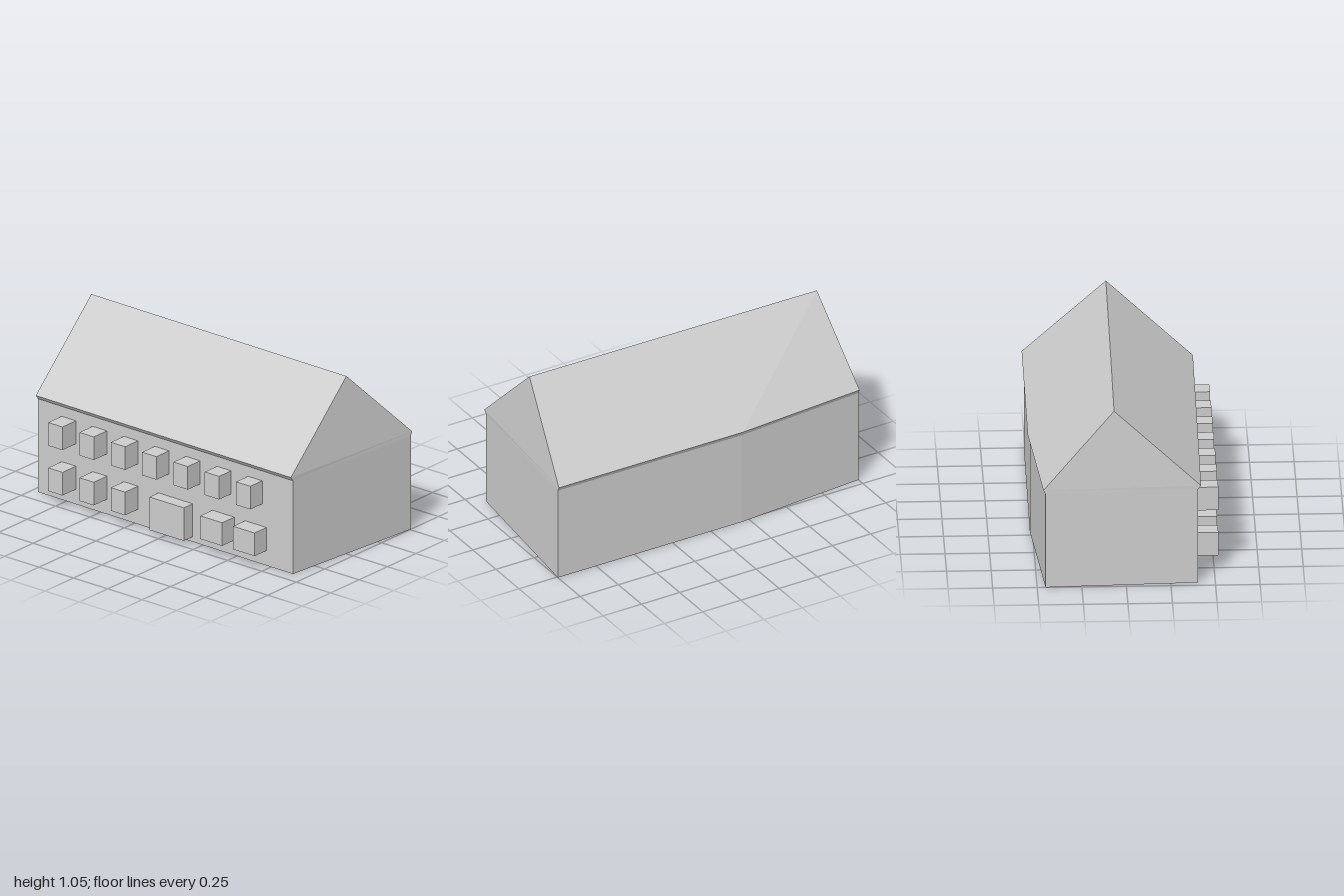
import * as THREE from 'three';

const plaster = new THREE.MeshStandardMaterial({ color: 0xcccccc, flatShading: true });
plaster.name = 'light grey';

// Cross-section corners, front base over the ridge to back base: [x, y, z]
const section = (xf, xr, xb, zf, zr, zb) => [
  [xf, 0, zf - 0.018], [xf, 0.565, zf - 0.018], [xf, 0.59, zf],
  [xr, 1.05, zr],
  [xb, 0.59, zb], [xb, 0.565, zb + 0.012], [xb, 0, zb + 0.012],
];
// The back wall bends at the middle section
const sections = [
  section(-0.96, -0.96, -1, 0.42, -0.068, -0.465),
  section(-0.2, -0.2, -0.2, 0.428, -0.06, -0.526),
  section(0.91, 0.91, 1, 0.438, -0.05, -0.519),
];
// Triangles that close a gable end
const gable = [[0, 6, 5], [0, 5, 1], [1, 5, 4], [1, 4, 2], [2, 4, 3]];

function buildMesh(name, triangles) {
  const geometry = new THREE.BufferGeometry();
  geometry.setAttribute('position', new THREE.Float32BufferAttribute(triangles.flat(2), 3));
  geometry.computeVertexNormals();
  const mesh = new THREE.Mesh(geometry, plaster);
  mesh.name = name;
  return mesh;
}

// Strips that join the sections along the given profile edges
function strips(edges) {
  const out = [];
  for (let s = 0; s < sections.length - 1; s++) {
    const a = sections[s], b = sections[s + 1];
    for (const i of edges) {
      const j = (i + 1) % 7;
      out.push([a[i], b[i], b[j]], [a[i], b[j], a[j]]);
    }
  }
  return out;
}

export function createModel() {
  const house = new THREE.Group();
  house.name = 'house';

  // Long walls, floor, gables and the roof with its narrow eaves
  house.add(buildMesh('wallsAndFloor', strips([0, 5, 6])));
  house.add(buildMesh('roof', strips([1, 2, 3, 4])));
  house.add(buildMesh('rightGable', gable.map(t => t.map(i => sections[2][i]))));
  house.add(buildMesh('leftGable', gable.map(t => t.map(i => sections[0][i]).reverse())));

  // Projecting box on the front wall
  const addBox = (name, x0, x1, y0, y1, zFront) => {
    const zBack = 0.39;
    const box = new THREE.Mesh(new THREE.BoxGeometry(x1 - x0, y1 - y0, zFront - zBack), plaster);
    box.position.set((x0 + x1) / 2, (y0 + y1) / 2, (zFront + zBack) / 2);
    box.name = name;
    house.add(box);
  };

  // Upper row of seven windows, three of them repeated below
  for (let i = 0; i < 7; i++) {
    const x = -0.733 + i * 0.2277;
    addBox('upperWindow', x - 0.052, x + 0.052, 0.365, 0.505, 0.523);
    if (i < 3) addBox('lowerWindow', x - 0.052, x + 0.052, 0.09, 0.23, 0.523);
  }
  // Wide windows and the entrance
  addBox('wideWindow', 0.32, 0.48, 0.09, 0.23, 0.523);
  addBox('wideWindow', 0.56, 0.716, 0.09, 0.23, 0.523);
  addBox('entrance', -0.075, 0.175, 0.03, 0.23, 0.491);

  return house;
}
